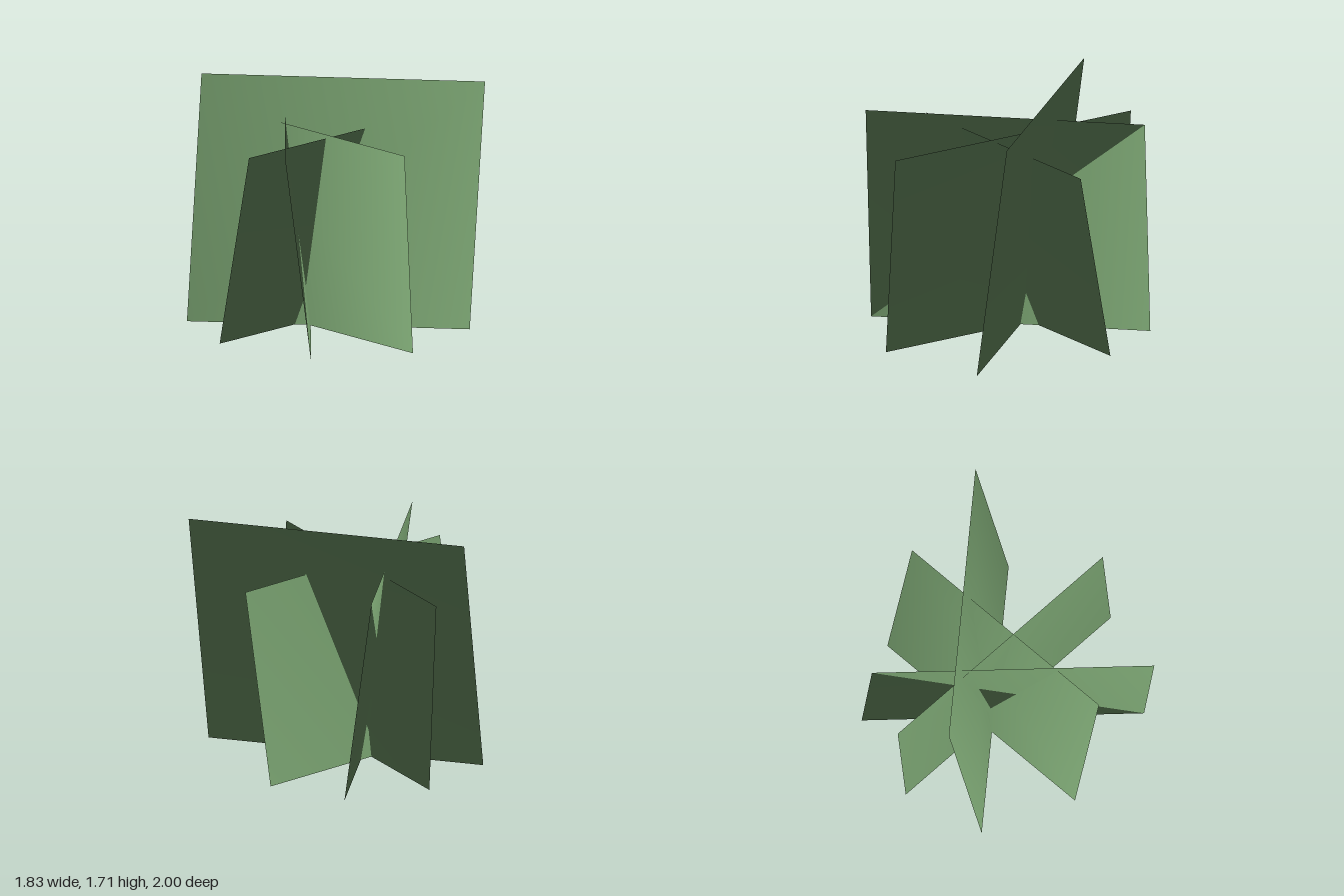
import * as THREE from 'three';

const HALF_THICKNESS = 0.0015;

// One flat card: bottom edge a-b at y = 0, top edge c-d at the given height.
// Its two sides lie a hair apart and share soft, mostly upward normals.
function makeCard(name, height, a, b, c, d, material) {
  const corners = [
    new THREE.Vector3(a[0], 0, a[1]),
    new THREE.Vector3(b[0], 0, b[1]),
    new THREE.Vector3(c[0], height, c[1]),
    new THREE.Vector3(d[0], height, d[1]),
  ];
  const facing = new THREE.Triangle(corners[0], corners[1], corners[2]).getNormal(new THREE.Vector3());
  const positions = [];
  const normals = [];
  for (const side of [1, -1]) {
    for (const corner of corners) {
      const p = corner.clone().addScaledVector(facing, side * HALF_THICKNESS);
      const n = new THREE.Vector3(corner.x, 1.5 + 0.3 * corner.y, corner.z).normalize();
      positions.push(p.x, p.y, p.z);
      normals.push(n.x, n.y, n.z);
    }
  }
  const geometry = new THREE.BufferGeometry();
  geometry.setAttribute('position', new THREE.Float32BufferAttribute(positions, 3));
  geometry.setAttribute('normal', new THREE.Float32BufferAttribute(normals, 3));
  geometry.setIndex([0, 1, 2, 0, 2, 3, 4, 6, 5, 4, 7, 6]);
  const mesh = new THREE.Mesh(geometry, material);
  mesh.name = name;
  return mesh;
}

export function createModel() {
  const group = new THREE.Group();
  group.name = 'crossedFoliageCards';

  const leafGreen = new THREE.MeshStandardMaterial({ color: 0x6f9567 });
  leafGreen.name = 'leafGreen';

  // Each card: name, height, then bottom a, b and top c, d as [x, z]
  const cards = [
    ['tallDiagonalCard', 1.705, [-0.67, -0.71], [0.69, 0.71], [0.915, 0.602], [-0.45, -0.82]],
    ['shortDiagonalCard', 1.445, [-0.735, 0.717], [0.499, -0.793], [0.319, -0.855], [-0.915, 0.655]],
    ['sidewaysCard', 1.36, [-0.91, -0.063], [0.797, -0.3], [0.842, -0.036], [-0.862, 0.198]],
    ['lengthwiseCard', 1.387, [-0.053, 1.0], [-0.112, -0.92], [-0.12, -1.0], [-0.062, 0.92]],
  ];
  for (const [name, height, a, b, c, d] of cards) {
    group.add(makeCard(name, height, a, b, c, d, leafGreen));
  }
  return group;
}
